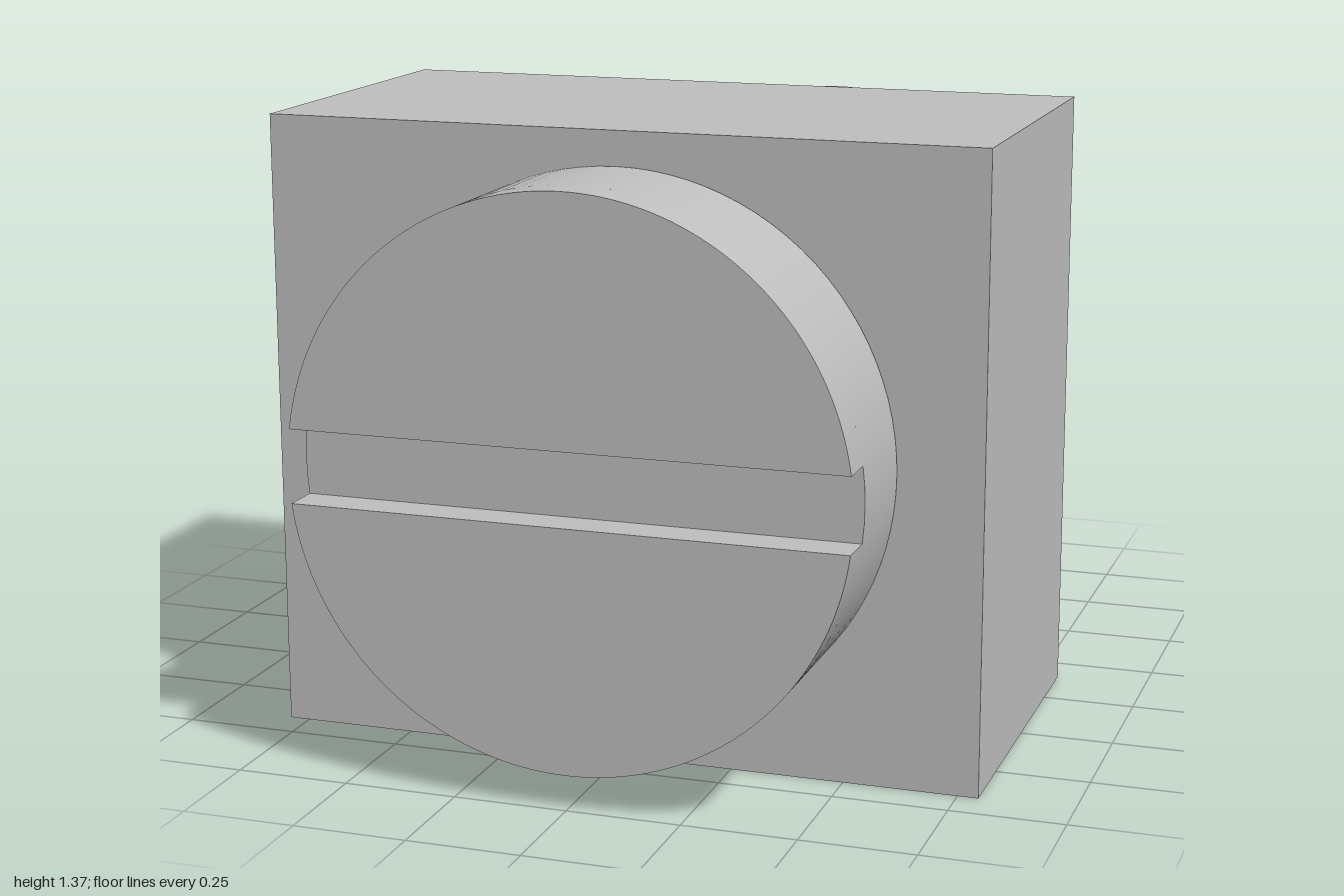
import * as THREE from 'three';
import { toCreasedNormals } from 'three/addons/utils/BufferGeometryUtils.js';

const AXIS_Y = 0.687; // height of the bolt axis
const SIDES = 96;

export function createModel() {
  const model = new THREE.Group();
  model.name = 'boltThroughBlock';
  const steel = new THREE.MeshStandardMaterial({ color: 0xbfbfbf });
  steel.name = 'steelGrey';

  const add = (name, geometry, parent) => {
    const mesh = new THREE.Mesh(geometry, steel);
    mesh.name = name;
    parent.add(mesh);
    return mesh;
  };

  // Square block
  const block = add('block', new THREE.BoxGeometry(1.59, 1.372, 0.815), model);
  block.position.set(0, 0.686, 0.2575);

  // Bolt, lying along z
  const bolt = new THREE.Group();
  bolt.name = 'bolt';
  bolt.position.y = AXIS_Y;
  model.add(bolt);

  const disc = (name, radius, z0, z1) => {
    const geometry = new THREE.CylinderGeometry(radius, radius, z1 - z0, SIDES);
    geometry.rotateX(Math.PI / 2).translate(0, 0, (z0 + z1) / 2);
    return add(name, geometry, bolt);
  };
  disc('shaft', 0.373, -0.715, 0.67);
  disc('rearFlange', 0.573, -1, -0.715);
  disc('headBase', 0.61, 0.669, 0.915);

  // Two half discs leave the screwdriver slot between them
  const radius = 0.61;
  const angle = Math.asin(0.08 / radius);
  const half = new THREE.Shape();
  half.absarc(0, 0, radius, angle, Math.PI - angle, false);
  half.closePath();
  const extruded = new THREE.ExtrudeGeometry(half, { depth: 0.085, bevelEnabled: false, curveSegments: 48 });
  const halfGeometry = toCreasedNormals(extruded, 0.5);
  ['headUpperHalf', 'headLowerHalf'].forEach((name, i) => {
    const mesh = add(name, halfGeometry, bolt);
    mesh.position.z = 0.915;
    mesh.rotation.z = i * Math.PI;
  });

  return model;
}
